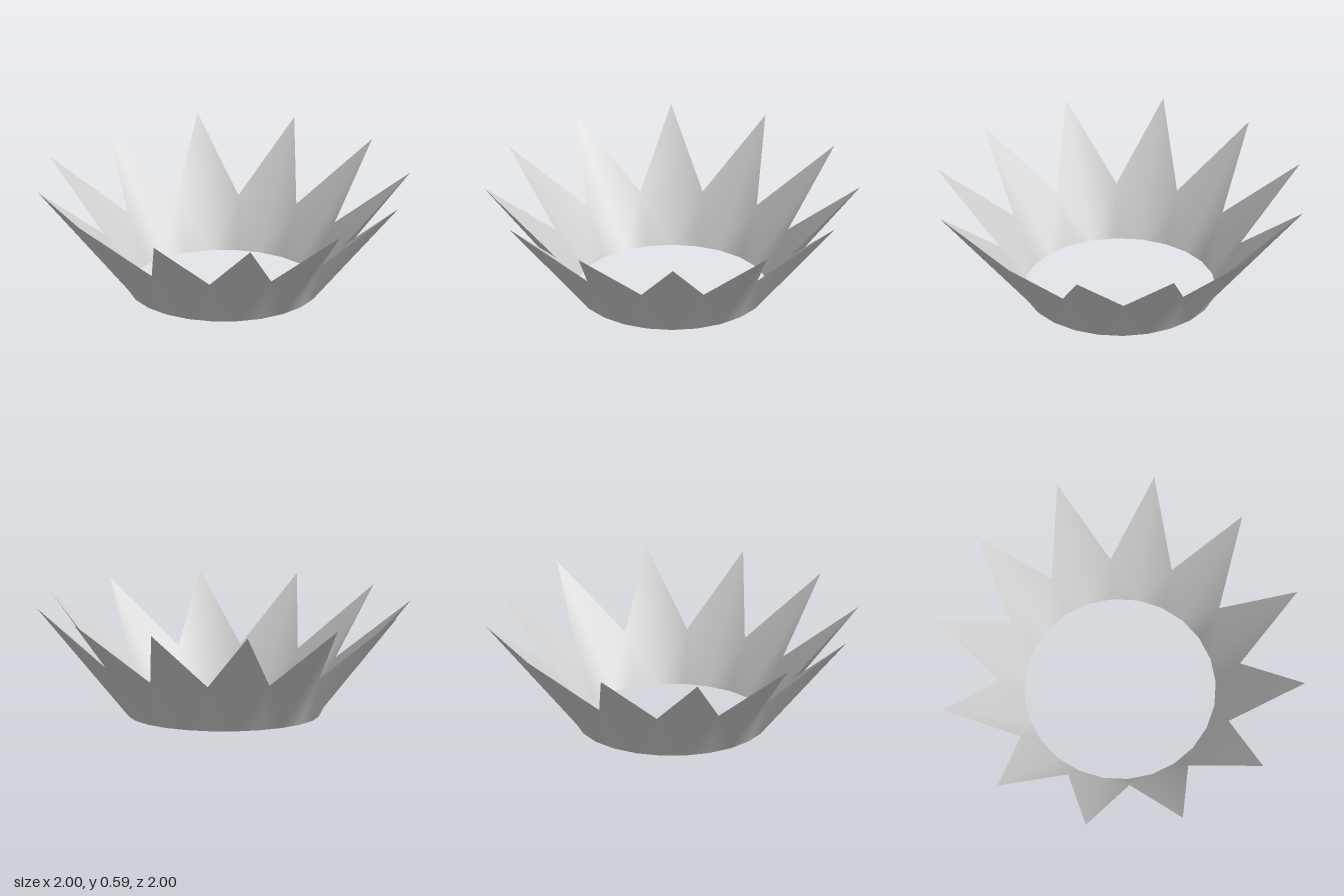
import * as THREE from 'three';

const POINTS = 12;                       // number of spikes
const BASE = { r: 0.51, y: 0 };          // lower rim
const VALLEY = { r: 0.64, y: 0.262 };    // notch between spikes
const TIP = { r: 1, y: 0.592 };          // spike end

export function createModel() {
  const group = new THREE.Group();
  group.name = 'crown';

  // Two rings of vertices: the round lower rim and the zigzag upper rim
  const n = POINTS * 2;
  const positions = [];
  const index = [];
  for (let i = 0; i < n; i++) {
    const a = (i / n) * Math.PI * 2;
    for (const p of [BASE, i % 2 ? VALLEY : TIP]) {
      positions.push(Math.sin(a) * p.r, p.y, Math.cos(a) * p.r);
    }
  }

  // Each panel is split from the notch to the foot of its spike, mirrored about the spike
  for (let i = 0; i < n; i++) {
    const j = (i + 1) % n;
    const b0 = i * 2, t0 = b0 + 1, b1 = j * 2, t1 = b1 + 1;
    if (i % 2 === 0) index.push(b0, b1, t1, b0, t1, t0);
    else index.push(b0, b1, t0, b1, t1, t0);
  }

  const geometry = new THREE.BufferGeometry();
  geometry.setAttribute('position', new THREE.Float32BufferAttribute(positions, 3));
  geometry.setIndex(index);
  geometry.computeVertexNormals();

  const band = new THREE.Mesh(
    geometry,
    new THREE.MeshStandardMaterial({ color: 0xcccccc, side: THREE.DoubleSide })
  );
  band.name = 'spikedBand';
  group.add(band);
  return group;
}
